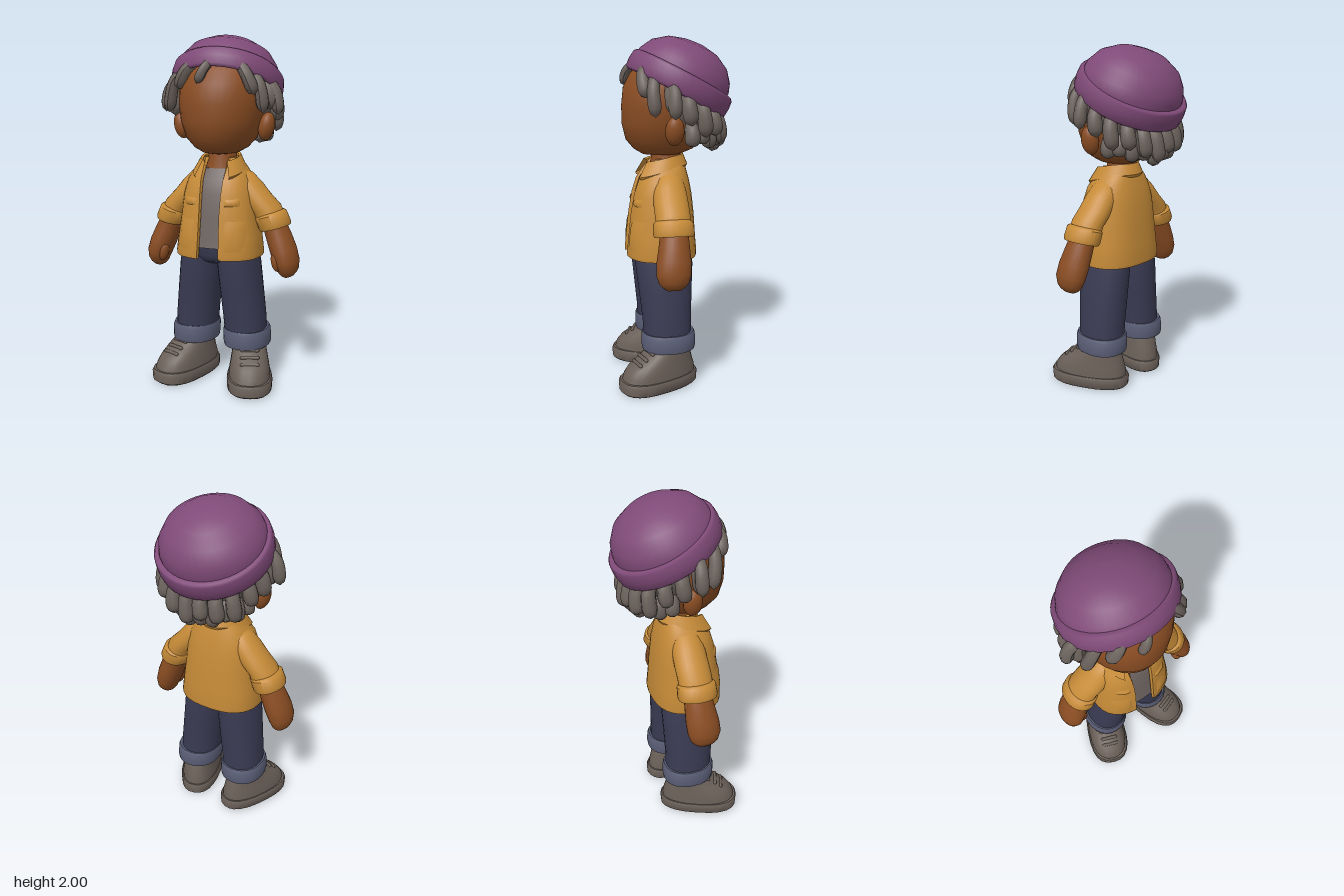
import * as THREE from 'three';
import { toCreasedNormals } from 'three/addons/utils/BufferGeometryUtils.js';

const mat = (name, color, side = THREE.FrontSide) => {
  const m = new THREE.MeshStandardMaterial({ color, side });
  m.name = name;
  return m;
};
const V = (x, y, z) => new THREE.Vector3(x, y, z);

// Joins rows of points (bottom to top, each running from -x to +x at the front) into a surface.
function skin(rows, { closed = true, caps = false, crease = 0.8 } = {}) {
  const n = rows[0].length, pos = [], idx = [];
  rows.forEach(r => r.forEach(p => pos.push(p.x, p.y, p.z)));
  const last = closed ? n : n - 1;
  for (let i = 0; i < rows.length - 1; i++) for (let j = 0; j < last; j++) {
    const k = (j + 1) % n, a = i * n + j, b = i * n + k, c = b + n, d = a + n;
    idx.push(a, b, c, a, c, d);
  }
  if (caps) [0, rows.length - 1].forEach((i, top) => {
    const mid = rows[i].reduce((s, p) => s.add(p), V(0, 0, 0)).divideScalar(n);
    const m = pos.length / 3;
    pos.push(mid.x, mid.y, mid.z);
    for (let j = 0; j < n; j++) {
      const a = i * n + j, b = i * n + (j + 1) % n;
      if (top) idx.push(m, a, b); else idx.push(m, b, a);
    }
  });
  const g = new THREE.BufferGeometry();
  g.setAttribute('position', new THREE.Float32BufferAttribute(pos, 3));
  g.setIndex(idx);
  return toCreasedNormals(g, crease);
}

const pw = (v, n) => Math.sign(v) * Math.abs(v) ** (2 / n);

// Stations are [x, y, z, rx, rz, tilt], listed bottom to top.
function loft(stations, { s = 1, n = 2, seg = 24, taper = 0, crease = 0.8 } = {}) {
  const rows = stations.map(([x, y, z, rx, rz, tilt = 0]) =>
    Array.from({ length: seg }, (_, j) => {
      const t = j / seg * Math.PI * 2, v = pw(Math.cos(t), n);
      const u = rx * pw(Math.sin(t), n) * (1 + taper * v);
      return V(s * x + u * Math.cos(tilt), y + s * u * Math.sin(tilt), z + rz * v);
    }));
  return skin(rows, { caps: true, crease });
}

// Jacket body: [y, rx, rz, cz, half width of the front opening]
const N = 2.5;
const BODY = [
  [0.76, 0.25, 0.205, 0.065, 0.066], [0.78, 0.252, 0.207, 0.065, 0.064], [0.88, 0.24, 0.197, 0.064, 0.062],
  [1.0, 0.222, 0.187, 0.061, 0.06], [1.12, 0.208, 0.17, 0.057, 0.062], [1.2, 0.186, 0.15, 0.052, 0.066],
  [1.26, 0.15, 0.122, 0.04, 0.07], [1.32, 0.098, 0.095, 0.03, 0.075]];

function jacketGeometry() {
  const half = 30, thick = 0.02;
  const ring = ([y, rx, rz, cz, gap], d) => {
    const a = Math.asin((gap / rx) ** (N / 2));
    return Array.from({ length: half }, (_, j) => {
      const t = a + (2 * Math.PI - 2 * a) * j / (half - 1), x = rx * pw(Math.sin(t), N);
      return V(x * (1 - d / rx), y, cz + (rz - d) * pw(Math.cos(t), N));
    });
  };
  const row = b => [...ring(b, 0), ...ring(b, thick).reverse()];
  const flat = b => { const r = ring(b, thick); return [...r, ...r.slice().reverse()]; };
  return skin([flat(BODY[0]), ...BODY.map(row), flat(BODY[BODY.length - 1])]);
}

// Depth of the jacket front, used to lay pockets on it
function frontZ(x, y) {
  const i = Math.max(1, BODY.findIndex(b => b[0] >= y)), a = BODY[i - 1], b = BODY[i];
  const k = (y - a[0]) / (b[0] - a[0]), m = q => a[q] + (b[q] - a[q]) * k;
  return m(3) + m(2) * Math.max(0, 1 - Math.abs(x / m(1)) ** N) ** (1 / N);
}
function pocketGeometry(x0, x1, y0, y1) {
  const rows = [];
  for (let i = 0; i <= 4; i++) rows.push(Array.from({ length: 7 }, (_, j) => {
    const x = x0 + (x1 - x0) * j / 6, y = y0 + (y1 - y0) * i / 4;
    const edge = i === 0 || i === 4 || j === 0 || j === 6;
    return V(x, y, frontZ(x, y) + (edge ? 0 : 0.008));
  }));
  return skin(rows, { closed: false });
}

// Shirt collar that drops and spreads towards the front
function collarGeometry() {
  const profile = [[0.115, 0.085, 1.268, 0.07], [0.123, 0.085, 1.285, 0.075], [0.098, 0.05, 1.345, 0.045], [0.086, 0.045, 1.34, 0.045], [0.085, 0.045, 1.27, 0.05]];
  return skin(profile.map(([r, spread, y, drop]) => Array.from({ length: 28 }, (_, j) => {
    const t = 0.55 + (2 * Math.PI - 1.1) * j / 27, f = ((1 + Math.cos(t)) / 2) ** 2;
    return V((r + spread * f) * Math.sin(t), y - drop * f, 0.03 + (r + spread * f) * Math.cos(t));
  })), { closed: false });
}

// One thick lock of hair along a curve, swelling towards a rounded tip
function lockGeometry(points, r) {
  const curve = new THREE.CatmullRomCurve3(points.map(p => V(...p)));
  const steps = 12, sides = 9, g = new THREE.TubeGeometry(curve, steps, r, sides);
  const p = g.attributes.position, v = V(0, 0, 0);
  for (let i = 0; i <= steps; i++) {
    const u = i / steps, c = curve.getPointAt(u), tip = Math.max(0, (u - 0.7) / 0.3);
    const k = (0.75 + 0.25 * u) * Math.sqrt(Math.max(0, 1 - tip * tip));
    for (let j = 0; j <= sides; j++) {
      const q = i * (sides + 1) + j;
      v.fromBufferAttribute(p, q).lerp(c, 1 - k);
      p.setXYZ(q, v.x, v.y, v.z);
    }
  }
  g.computeVertexNormals();
  return g;
}

export function createModel() {
  const skinTone = mat('skin brown', 0x8a4d23), jacket = mat('jacket ochre', 0xc68b38, THREE.DoubleSide);
  const shirt = mat('shirt grey', 0x6f6562), denim = mat('denim navy', 0x3a3b53), cuffs = mat('denim cuff', 0x5a5e76);
  const shoe = mat('shoe taupe', 0x6a5f58), hair = mat('hair grey', 0x6b625c);
  const wool = mat('hat purple', 0x7f4a78, THREE.DoubleSide);
  const model = new THREE.Group();
  model.name = 'character';
  const add = (name, geo, m, parent = model) => {
    const mesh = new THREE.Mesh(geo, m);
    mesh.name = name;
    parent.add(mesh);
    return mesh;
  };
  const group = name => { const g = new THREE.Group(); g.name = name; model.add(g); return g; };
  const blob = (name, m, c, r, parent) => {
    const b = add(name, new THREE.SphereGeometry(1, 24, 16), m, parent);
    b.position.set(...c);
    b.scale.set(...r);
    return b;
  };

  // Head and neck
  add('head', loft([
    [0, 1.337, 0.06, 0.04, 0.05], [0, 1.347, 0.055, 0.1, 0.115], [0, 1.375, 0.045, 0.15, 0.172], [0, 1.43, 0.04, 0.2, 0.222],
    [0, 1.52, 0.04, 0.232, 0.243], [0, 1.62, 0.035, 0.248, 0.248], [0, 1.72, 0.03, 0.25, 0.242], [0, 1.8, 0, 0.23, 0.23],
    [0, 1.87, -0.03, 0.18, 0.18], [0, 1.92, -0.04, 0.08, 0.08]], { seg: 36, crease: 1.2 }), skinTone);
  add('neck', loft([[0, 1.18, 0.04, 0.12, 0.1], [0, 1.26, 0.035, 0.098, 0.1], [0, 1.32, 0.03, 0.082, 0.085], [0, 1.42, 0.03, 0.08, 0.085]]), skinTone);

  // Torso
  add('shirt', loft(
    BODY.slice(1, 7).map(([y, rx, rz, cz], i) => [0, i ? y : 0.82, cz, rx - 0.03, rz - 0.028]),
    { n: N, seg: 36 }), shirt);
  add('jacketBody', jacketGeometry(), jacket);
  add('jacketCollar', collarGeometry(), jacket);
  add('hips', loft([[0, 0.715, 0.06, 0.06, 0.1], [0, 0.735, 0.061, 0.12, 0.145], [0, 0.77, 0.063, 0.2, 0.162], [0, 0.86, 0.064, 0.2, 0.166]], { n: N, crease: 1.2 }), denim);

  for (const s of [1, -1]) {
    const side = s > 0 ? 'left' : 'right';
    blob(side + 'Ear', skinTone, [s * 0.26, 1.495, 0.022], [0.045, 0.08, 0.052]).rotation.z = -s * 0.2;

    // Arm with rolled sleeve
    const arm = group(side + 'Arm');
    add('sleeve', loft([
      [0.295, 0.985, 0.035, 0.08, 0.098, 0.3], [0.275, 1.03, 0.035, 0.08, 0.098, 0.35], [0.22, 1.085, 0.035, 0.077, 0.098, 0.45],
      [0.172, 1.14, 0.035, 0.077, 0.095, 0.6], [0.13, 1.19, 0.035, 0.068, 0.085, 0.8], [0.085, 1.225, 0.035, 0.045, 0.06, 0.9]], { s }), jacket, arm);
    add('sleeveCuff', loft([
      [0.324, 0.935, 0.036, 0.074, 0.092, 0.27], [0.326, 0.928, 0.036, 0.086, 0.108, 0.27], [0.321, 0.942, 0.036, 0.092, 0.115, 0.27],
      [0.297, 1.0, 0.036, 0.09, 0.112, 0.3], [0.291, 1.012, 0.036, 0.078, 0.096, 0.3]], { s }), jacket, arm);
    add('forearmAndHand', loft([
      [0.414, 0.653, 0.05, 0.025, 0.035, 0.3], [0.413, 0.668, 0.05, 0.045, 0.06, 0.3], [0.411, 0.69, 0.05, 0.058, 0.08, 0.3],
      [0.402, 0.735, 0.05, 0.069, 0.096, 0.3], [0.378, 0.8, 0.046, 0.075, 0.096, 0.3], [0.35, 0.87, 0.04, 0.073, 0.087, 0.3],
      [0.325, 0.93, 0.036, 0.068, 0.08, 0.3], [0.29, 1, 0.035, 0.062, 0.075, 0.3]], { s, crease: 1.2 }), skinTone, arm);
    blob('thumb', skinTone, [s * 0.352, 0.745, 0.1], [0.03, 0.06, 0.036], arm).rotation.z = s * 0.2;

    // Jacket pockets
    const span = (a, b) => s > 0 ? [a, b] : [-b, -a];
    add(side + 'ChestPocketFlap', pocketGeometry(...span(0.085, 0.165), 1.06, 1.1), jacket);
    add(side + 'LowerPocket', pocketGeometry(...span(0.09, 0.2), 0.81, 0.98), jacket);

    // Trouser leg with turned-up cuff
    const leg = group(side + 'Leg');
    add('trouserLeg', loft([
      [0.16, 0.23, 0.045, 0.12, 0.138], [0.148, 0.4, 0.05, 0.122, 0.142], [0.129, 0.58, 0.056, 0.121, 0.155],
      [0.115, 0.72, 0.06, 0.118, 0.166], [0.11, 0.8, 0.062, 0.105, 0.164]], { s, n: 2.2 }), denim, leg);
    add('trouserCuff', loft([
      [0.162, 0.222, 0.043, 0.12, 0.14], [0.163, 0.226, 0.043, 0.132, 0.154], [0.163, 0.25, 0.043, 0.136, 0.158],
      [0.16, 0.31, 0.044, 0.135, 0.157], [0.158, 0.328, 0.045, 0.129, 0.15], [0.158, 0.325, 0.045, 0.115, 0.136]], { s, n: 2.2 }), cuffs, leg);

    // Shoe, toes turned out
    const foot = group(side + 'Shoe');
    foot.position.set(s * 0.198, 0, 0.105);
    foot.rotation.y = s * 0.35;
    add('sole', loft([[0, 0, 0, 0.118, 0.228], [0, 0.01, 0, 0.128, 0.24], [0, 0.06, 0, 0.13, 0.243], [0, 0.074, 0, 0.124, 0.236]],
      { n: 2.5, taper: 0.12 }), shoe, foot);
    add('shoeUpper', loft([
      [0, 0.05, 0, 0.121, 0.23], [0, 0.1, -0.004, 0.118, 0.222], [0, 0.14, -0.014, 0.111, 0.2], [0, 0.18, -0.038, 0.103, 0.166],
      [0, 0.215, -0.06, 0.097, 0.13], [0, 0.25, -0.07, 0.09, 0.108]], { n: 2.3, taper: 0.1 }), shoe, foot);
    for (const [y, z] of [[0.165, 0.14], [0.192, 0.104], [0.22, 0.062]]) {
      const lace = add('lace', new THREE.CapsuleGeometry(0.011, 0.09, 3, 8), shoe, foot);
      lace.position.set(0, y, z);
      lace.rotation.z = Math.PI / 2;
    }
  }

  // Hair: a rounded base with two tiers of hanging locks
  const locks = group('hair');
  blob('hairBase', hair, [0, 1.65, -0.06], [0.262, 0.23, 0.225], locks);
  const at = (a, r, y) => [r * Math.sin(a), y, -0.025 + 0.93 * r * Math.cos(a)];
  for (let i = 0; i < 12; i++) {
    const a = (76 + i * 18.9) * Math.PI / 180, edge = 1.685 + 0.14 * Math.cos(a), out = 0.04 * Math.abs(Math.sin(a));
    const end = edge - 0.13 - 0.02 * (i % 3);
    add('upperLock', lockGeometry([at(a, 0.21, edge + 0.05), at(a, 0.25 + out, edge - 0.03), at(a + 0.06, 0.26 + out, end)], 0.046), hair, locks);
  }
  for (let i = 0; i < 10; i++) {
    const a = (105 + i * 16.7) * Math.PI / 180, end = 1.345 + 0.02 * (i % 2) + 0.06 * Math.abs(Math.sin(a));
    add('lowerLock', lockGeometry([at(a, 0.18, 1.55), at(a, 0.235, 1.47), at(a, 0.225, end)], 0.046), hair, locks);
  }
  const fringe = [
    [[0.01, 1.86, 0.2], [-0.02, 1.81, 0.25], [-0.06, 1.73, 0.264]],
    [[-0.1, 1.85, 0.18], [-0.155, 1.79, 0.208], [-0.2, 1.7, 0.195]],
    [[-0.18, 1.82, 0.12], [-0.25, 1.74, 0.14], [-0.295, 1.57, 0.12]],
    [[-0.23, 1.77, 0.05], [-0.325, 1.7, 0.04], [-0.352, 1.57, 0.04]],
    [[0.14, 1.85, 0.16], [0.195, 1.78, 0.185], [0.24, 1.67, 0.17]],
    [[0.19, 1.81, 0.11], [0.255, 1.72, 0.135], [0.275, 1.57, 0.125]],
    [[0.23, 1.77, 0.04], [0.305, 1.7, 0.03], [0.333, 1.56, 0.03]]];
  fringe.forEach((p, i) => add('fringeLock', lockGeometry(p, i ? 0.04 : 0.03), hair, locks));

  // Knitted hat, tipped back
  const hat = group('hat');
  hat.position.set(0, 1.683, -0.018);
  hat.rotation.x = -0.485;
  hat.scale.x = 1.03;
  const lathe = pts => new THREE.LatheGeometry(pts.map(p => new THREE.Vector2(...p)), 40);
  add('hatDome', lathe([[0.286, 0.06], [0.287, 0.11], [0.272, 0.165], [0.228, 0.23], [0.15, 0.28], [0.07, 0.3], [0, 0.304]]), wool, hat).rotation.x = 0.1;
  add('hatBand', lathe([[0.265, 0.03], [0.295, 0], [0.312, 0.012], [0.316, 0.06], [0.311, 0.105], [0.3, 0.118], [0.27, 0.115]]), wool, hat);
  return model;
}
